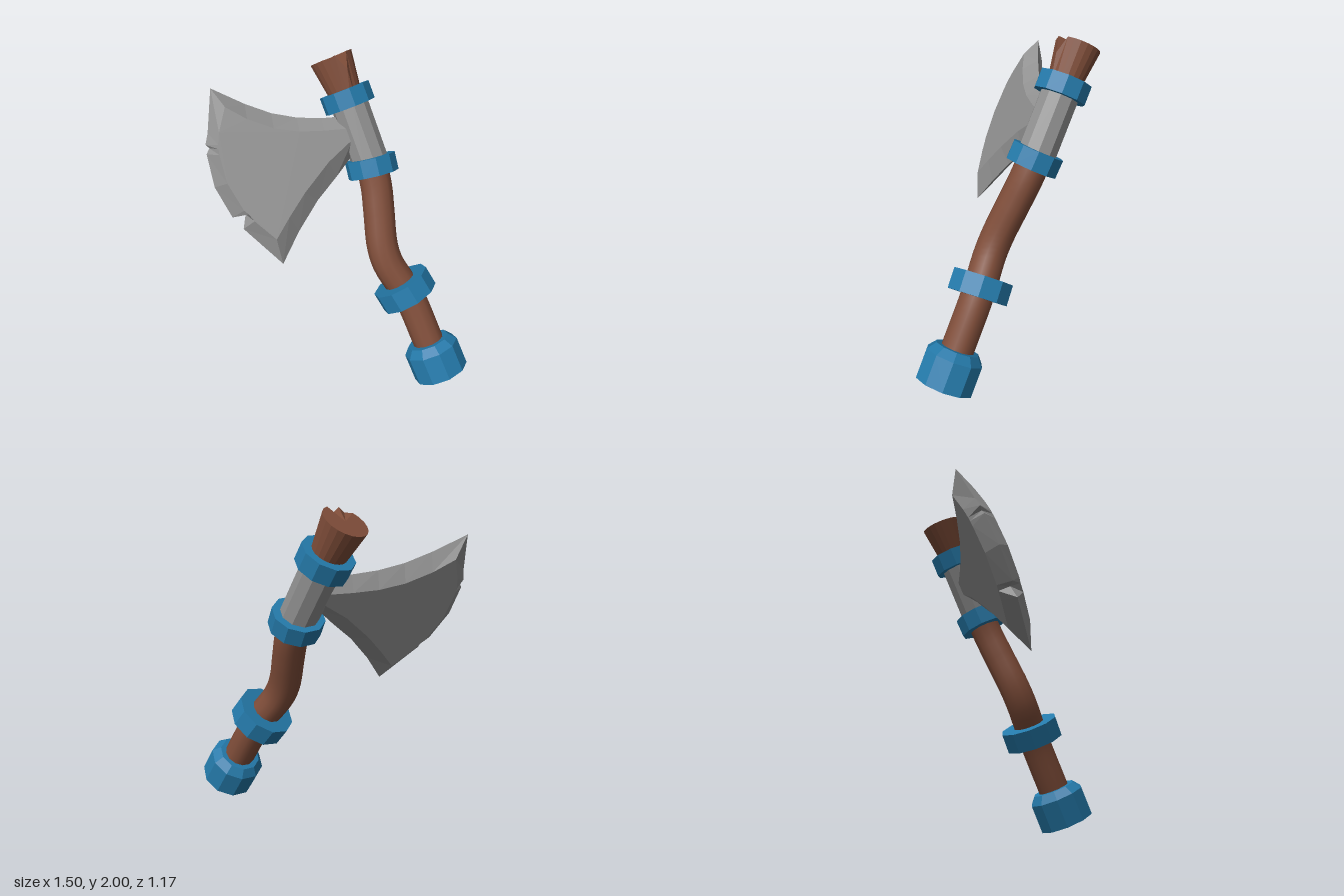
import * as THREE from 'three';

const HALF = 0.07; // half thickness of the blade cheeks

// Flat, faceted normals
function facet(geo) {
  const g = geo.index ? geo.toNonIndexed() : geo;
  g.computeVertexNormals();
  return g;
}

// Blade: a sharp rim on the centre plane joined to two inset cheeks
function bladeGeometry() {
  // rim x, rim y, cheek x, cheek y (counter-clockwise)
  const pairs = [
    [0.12, 1.6, 0.12, 1.525], [-0.05, 1.6, -0.05, 1.525], [-0.2, 1.617, -0.2, 1.533],
    [-0.35, 1.656, -0.35, 1.566], [-0.5, 1.723, -0.5, 1.633], [-0.69, 1.829, -0.62, 1.713],
    [-0.735, 1.573, -0.67, 1.57], [-0.755, 1.506, -0.683, 1.5], [-0.735, 1.484, -0.683, 1.475],
    [-0.755, 1.45, -0.682, 1.44], [-0.73, 1.25, -0.655, 1.27], [-0.645, 1.059, -0.575, 1.1],
    [-0.566, 1.07, -0.55, 1.075], [-0.587, 0.982, -0.52, 1.03], [-0.37, 0.739, -0.4, 0.905],
    [-0.254, 0.928, -0.31, 1.03], [-0.12, 1.106, -0.2, 1.17], [0.01, 1.239, -0.04, 1.338],
    [0.12, 1.36, 0.12, 1.46],
  ];
  const n = pairs.length;
  const pos = [];
  const index = [];
  for (const [x, y] of pairs) pos.push(x, y, 0);
  for (const side of [1, -1]) for (const p of pairs) pos.push(p[2], p[3], side * HALF);
  const tris = THREE.ShapeUtils.triangulateShape(pairs.map((p) => new THREE.Vector2(p[2], p[3])), []);
  for (const [a, b, c] of tris) {
    index.push(n + a, n + b, n + c, 2 * n + a, 2 * n + c, 2 * n + b);
  }
  for (let i = 0; i < n; i++) {
    const j = (i + 1) % n;
    index.push(i, j, n + j, i, n + j, n + i);
    index.push(j, i, 2 * n + i, j, 2 * n + i, 2 * n + j);
  }
  const g = new THREE.BufferGeometry();
  g.setAttribute('position', new THREE.Float32BufferAttribute(pos, 3));
  g.setIndex(index);
  return facet(g);
}

// Splintered handle end: a flared stub with notches pressed into the rim
function stubGeometry(height) {
  const g = new THREE.CylinderGeometry(0.132, 0.095, height, 20);
  const p = g.attributes.position;
  for (let i = 0; i < p.count; i++) {
    const x = p.getX(i), y = p.getY(i), z = p.getZ(i);
    if (y < 0 || Math.hypot(x, z) < 0.05) continue;
    const angle = Math.atan2(x, z);
    if (Math.abs(angle - 0.31) < 0.1) p.setY(i, y - 0.1);
    else if (Math.abs(angle + 0.31) < 0.1) p.setY(i, y - 0.02);
  }
  return facet(g);
}

export function createModel() {
  const wood = new THREE.MeshStandardMaterial({ color: 0x7f4d39 });
  wood.name = 'brown wood';
  const blue = new THREE.MeshStandardMaterial({ color: 0x2479a9 });
  blue.name = 'blue band';
  const steel = new THREE.MeshStandardMaterial({ color: 0x909090 });
  steel.name = 'grey steel';

  // The axe is built upright in its own plane, then leaned back
  const axe = new THREE.Group();
  axe.name = 'axe';
  const add = (name, geo, mat, x = 0, y = 0, tilt = 0) => {
    const m = new THREE.Mesh(geo, mat);
    m.name = name;
    m.position.set(x, y, 0);
    m.rotation.z = tilt;
    axe.add(m);
  };

  // Crooked handle
  const path = new THREE.CatmullRomCurve3([
    [0.57, -0.05], [0.505, 0.15], [0.43, 0.38], [0.385, 0.483], [0.29, 0.66], [0.262, 0.78],
    [0.258, 1.0], [0.255, 1.15], [0.235, 1.284], [0.18, 1.48], [0.118, 1.706],
  ].map(([x, y]) => new THREE.Vector3(x, y, 0)));
  add('handle', new THREE.TubeGeometry(path, 40, 0.1, 12), wood);
  add('brokenTip', stubGeometry(0.26), wood, 0.079, 1.828, 0.305);

  // Pommel with a chamfered shoulder
  const profile = [[0, 0], [0.178, 0], [0.178, 0.18], [0.135, 0.23], [0, 0.23]]
    .map(([r, y]) => new THREE.Vector2(r, y));
  add('pommel', facet(new THREE.LatheGeometry(profile, 10)), blue, 0.585, -0.096, 0.315);

  // Bands around the handle: x, y, tilt, radius, height
  const bands = [
    ['lowerBand', 0.385, 0.483, 0.46, 0.188, 0.125],
    ['middleBand', 0.235, 1.284, 0.15, 0.158, 0.11],
    ['upperBand', 0.118, 1.706, 0.28, 0.158, 0.11],
  ];
  for (const [name, x, y, tilt, r, h] of bands) {
    add(name, facet(new THREE.CylinderGeometry(r, r, h, 10)), blue, x, y, tilt);
  }

  // Metal socket and blade
  add('socket', facet(new THREE.CylinderGeometry(0.115, 0.115, 0.43, 10)), steel, 0.177, 1.495, 0.27);
  add('blade', bladeGeometry(), steel);

  axe.rotation.x = -0.4525;
  axe.position.set(0, 0.186, 0.382);

  const model = new THREE.Group();
  model.name = 'leaningAxe';
  model.add(axe);
  return model;
}
